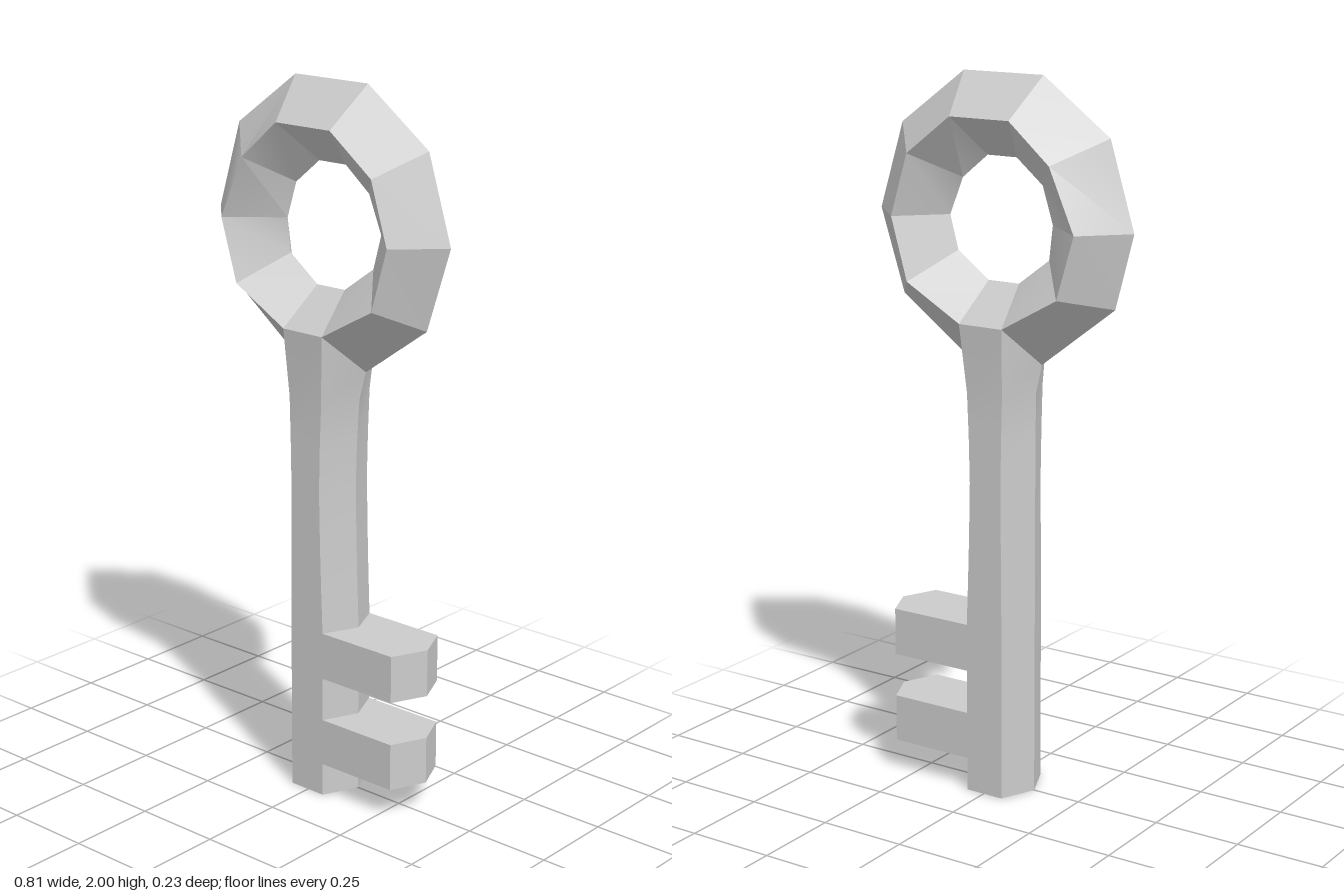
import * as THREE from 'three';
import { toCreasedNormals } from 'three/addons/utils/BufferGeometryUtils.js';

// Mesh from four-cornered faces, corners counter-clockwise seen from outside
function quadMesh(name, quads) {
  const pos = [];
  for (const [a, b, c, d] of quads) pos.push(...a, ...b, ...c, ...a, ...c, ...d);
  const geo = new THREE.BufferGeometry();
  geo.setAttribute('position', new THREE.Float32BufferAttribute(pos, 3));
  const mesh = new THREE.Mesh(toCreasedNormals(geo, 0.35), new THREE.MeshStandardMaterial({ color: 0xcccccc }));
  mesh.name = name;
  return mesh;
}

// Ring outlines, counter-clockwise from the right: outer rim, bevel ridge, inner rim
const OUTER = [[0.403, 1.61], [0.328, 1.85], [0.125, 2], [-0.125, 2], [-0.33, 1.85],
  [-0.404, 1.61], [-0.35, 1.405], [-0.124, 1.23], [0.122, 1.23], [0.328, 1.378]];
const RIDGE = [[0.286, 1.61], [0.233, 1.783], [0.094, 1.89], [-0.092, 1.89], [-0.216, 1.783],
  [-0.292, 1.61], [-0.24, 1.436], [-0.07, 1.34], [0.066, 1.34], [0.236, 1.436]];
const INNER = [[0.172, 1.61], [0.13, 1.714], [0.05, 1.78], [-0.042, 1.78], [-0.124, 1.712],
  [-0.156, 1.61], [-0.145, 1.515], [-0.05, 1.443], [0.047, 1.443], [0.146, 1.515]];
const BOTTOM = 7; // ring segment that opens into the shaft
const Z = 0.115;

// Diamond cross-section at ring corner j: outer, front, inner, back
const ringSection = (j) => [
  [...OUTER[j], 0], [...RIDGE[j], Z], [...INNER[j], 0], [...RIDGE[j], -Z],
];

function ring() {
  const quads = [];
  for (let j = 0; j < 10; j++) {
    const s = ringSection(j), t = ringSection((j + 1) % 10);
    for (let k = 0; k < 4; k++) {
      if (j === BOTTOM && (k === 0 || k === 3)) continue;
      const n = (k + 1) % 4;
      quads.push([s[k], t[k], t[n], s[n]]);
    }
  }
  return quadMesh('ringHandle', quads);
}

const TEETH = [[0.095, 0.23], [0.355, 0.49]];

// Shaft rows: height, left edge, left ridge, right ridge, right edge
const ROWS = [
  [0, -0.104, -0.06, 0.055, 0.1],
  ...TEETH.flat().map((y) => [y, -0.104, -0.06, 0.055, 0.1]),
  [0.62, -0.104, -0.059, 0.05, 0.095],
  [0.75, -0.104, -0.058, 0.046, 0.091],
  [0.9, -0.104, -0.057, 0.043, 0.088],
  [1.03, -0.104, -0.059, 0.046, 0.092],
  [1.15, -0.106, -0.062, 0.051, 0.1],
];

function shaft() {
  const d = 0.1;
  const loops = ROWS.map(([y, l, lr, rr, r]) => [
    [r, y, 0], [rr, y, -d], [lr, y, -d], [l, y, 0], [lr, y, d], [rr, y, d],
  ]);
  // Last loop shares its corners with the opening of the ring
  const R = ringSection(BOTTOM + 1), L = ringSection(BOTTOM);
  loops.push([R[0], R[3], L[3], L[0], L[1], R[1]]);

  const quads = [];
  for (let i = 0; i < loops.length - 1; i++) {
    const a = loops[i], b = loops[i + 1];
    const toothed = TEETH.some(([y]) => ROWS[i][0] === y);
    for (let k = 0; k < 6; k++) {
      if (toothed && (k === 0 || k === 5)) continue; // a tooth grows here
      const n = (k + 1) % 6;
      quads.push([a[k], a[n], b[n], b[k]]);
    }
  }
  // End cap
  const c = loops[0];
  quads.push([c[3], c[2], c[1], c[0]], [c[0], c[5], c[4], c[3]]);
  return quadMesh('shaft', quads);
}

// Tooth with a pointed end, open where it meets the shaft
function tooth(y0, y1) {
  const outline = [[0.055, 0.1], [0.3, 0.1], [0.345, 0], [0.3, -0.1], [0.055, -0.1], [0.1, 0]];
  const lo = outline.map(([x, z]) => [x, y0, z]);
  const hi = outline.map(([x, z]) => [x, y1, z]);
  const quads = [];
  for (let k = 0; k < 4; k++) quads.push([lo[k], lo[k + 1], hi[k + 1], hi[k]]);
  for (const face of [[0, 1, 2, 5], [5, 2, 3, 4]]) {
    quads.push(face.map((i) => hi[i]), face.map((i) => lo[i]).reverse());
  }
  return quadMesh('tooth', quads);
}

export function createModel() {
  const key = new THREE.Group();
  key.name = 'key';
  key.add(ring(), shaft(), ...TEETH.map(([y0, y1]) => tooth(y0, y1)));
  return key;
}
